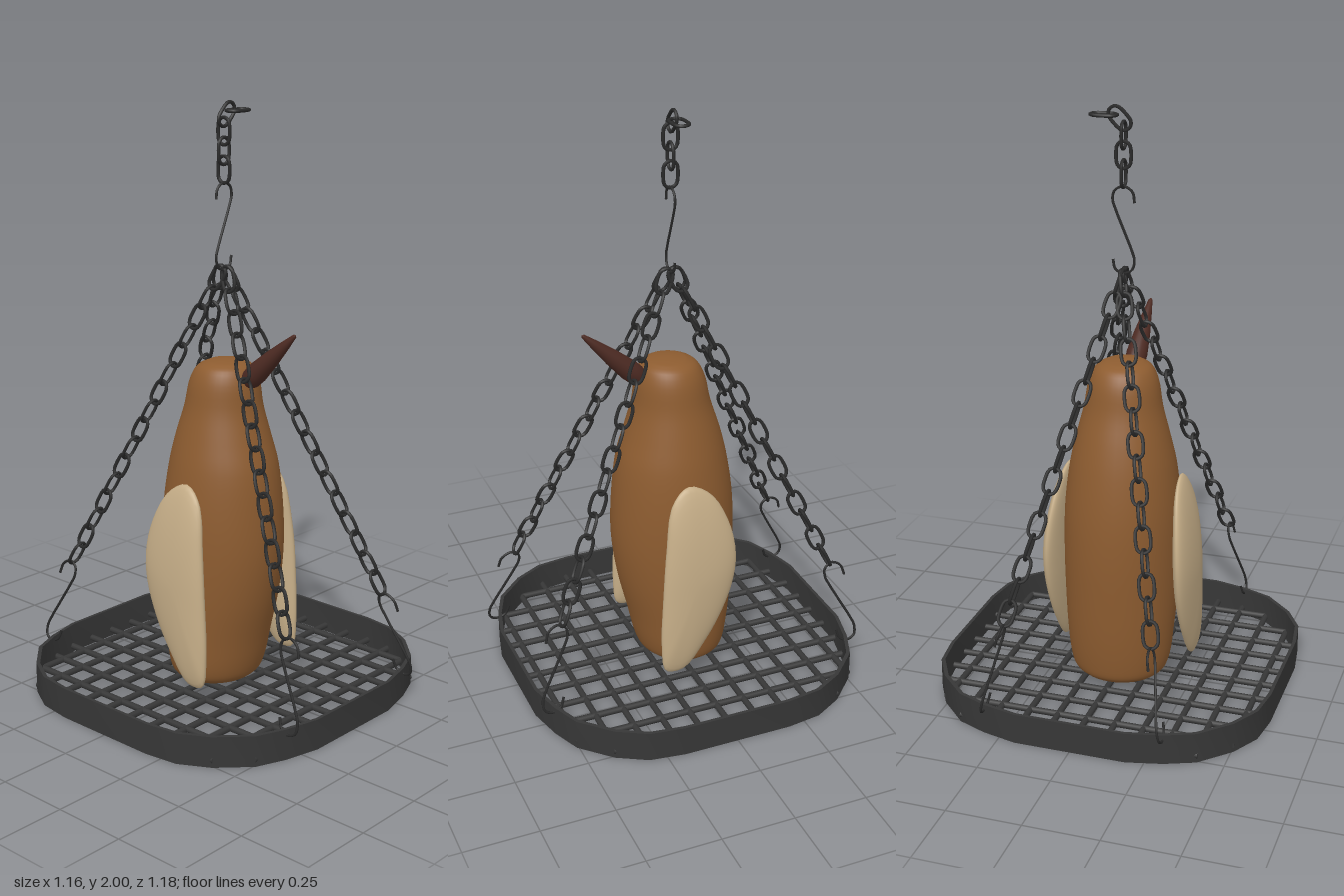
import * as THREE from 'three';
import { mergeVertices, toCreasedNormals } from 'three/addons/utils/BufferGeometryUtils.js';

const material = (name, color) => {
  const m = new THREE.MeshStandardMaterial({ color });
  m.name = name;
  return m;
};
const V = (x, y, z) => new THREE.Vector3(x, y, z);

// Welds seams and rebuilds smooth normals after vertices were moved
function smooth(geo) {
  geo.deleteAttribute('uv');
  geo.deleteAttribute('normal');
  const g = mergeVertices(geo, 1e-5);
  g.computeVertexNormals();
  return g;
}

export function createModel() {
  const root = new THREE.Group();
  root.name = 'hangingBirdFeeder';
  const brown = material('body brown', 0x8d5c30);
  const tan = material('wing tan', 0xc6ae88);
  const darkBrown = material('beak brown', 0x4c2a22);
  const iron = material('chain iron', 0x2a2a2a);
  const trayGrey = material('tray grey', 0x373737);

  const add = (name, geo, mat, parent = root) => {
    const m = new THREE.Mesh(geo, mat);
    m.name = name;
    parent.add(m);
    return m;
  };

  // Bird body: y, half width, half depth, z shift of each cross-section
  const sections = [
    [0.035, 0.14, 0.128, -0.034], [0.055, 0.161, 0.148, -0.033], [0.1, 0.175, 0.162, -0.03],
    [0.2, 0.186, 0.18, -0.025], [0.35, 0.196, 0.203, -0.012], [0.5, 0.2, 0.215, -0.005],
    [0.65, 0.197, 0.21, -0.003], [0.8, 0.18, 0.19, 0], [0.9, 0.158, 0.163, -0.002],
    [1.0, 0.133, 0.133, 0], [1.09, 0.117, 0.117, 0.004], [1.135, 0.095, 0.095, 0.008],
    [1.155, 0.06, 0.06, 0.012],
  ];
  const width = new THREE.CatmullRomCurve3(sections.map(s => V(s[1], s[0], s[2])));
  const shift = new THREE.CatmullRomCurve3(sections.map(s => V(s[3], s[0], 0)));
  const rings = 48;
  const rows = [V(0, 0.035, 0), ...width.getPoints(rings), V(0, 1.163, 0)];
  const shifts = [V(-0.034, 0, 0), ...shift.getPoints(rings), V(0.012, 0, 0)];
  const bodyGeo = new THREE.LatheGeometry(rows.map(p => new THREE.Vector2(p.x ? 1 : 0, p.y)), 40);
  const bp = bodyGeo.attributes.position;
  for (let i = 0; i < bp.count; i++) {
    const k = i % rows.length;
    bp.setX(i, bp.getX(i) * rows[k].x);
    bp.setZ(i, bp.getZ(i) * rows[k].z + shifts[k].x);
  }
  add('body', smooth(bodyGeo), brown);

  // Wings: lens-shaped, swept along a leaf outline given as (z, y), bent in at the shoulder
  const outline = new THREE.CatmullRomCurve3([
    [-0.143, 0.5], [-0.12, 0.62], [-0.06, 0.73], [0.02, 0.77], [0.08, 0.715], [0.11, 0.55],
    [0.125, 0.35], [0.13, 0.18], [0.115, 0.085], [0.05, 0.08], [-0.03, 0.175], [-0.09, 0.28], [-0.13, 0.39],
  ].map(([z, y]) => V(0, y, z)), true);
  const wingGeo = new THREE.SphereGeometry(1, 48, 20);
  const wp = wingGeo.attributes.position, uv = wingGeo.attributes.uv;
  const centre = V(0, 0.42, 0.01);
  for (let i = 0; i < wp.count; i++) {
    const h = wp.getY(i);
    const p = outline.getPoint(((uv.getX(i) % 1) + 1) % 1);
    p.sub(centre).multiplyScalar(Math.sqrt(Math.max(0, 1 - h * h))).add(centre);
    wp.setXYZ(i, 0.234 - 0.25 * Math.max(0, p.y - 0.4) ** 2 + 0.037 * h, p.y, p.z);
  }
  const wing = smooth(wingGeo);
  add('leftWing', wing, tan);
  add('rightWing', wing, tan).scale.x = -1;

  // Beak pointing up and forward
  const beak = add('beak', new THREE.LatheGeometry([
    [0, 0], [0.024, 0], [0.034, 0.02], [0.036, 0.06], [0.028, 0.14], [0.016, 0.22], [0.007, 0.272], [0, 0.281],
  ].map(p => new THREE.Vector2(...p)), 20), darkBrown);
  beak.position.set(0, 1.095, 0.105);
  beak.rotation.x = 0.82;

  // Tray rim: a rounded square band, corners listed for one quarter
  const quarter = [[0.58, 0.19], [0.563, 0.31], [0.507, 0.41], [0.41, 0.507], [0.31, 0.548], [0.19, 0.577]];
  const back = [...quarter].reverse();
  const loop = [
    ...quarter, ...back.map(([x, z]) => [-x, z]),
    ...quarter.map(([x, z]) => [-x, -z]), ...back.map(([x, z]) => [x, -z]),
  ].map(p => new THREE.Vector2(...p));
  const rimShape = new THREE.Shape(loop);
  rimShape.holes.push(new THREE.Path(loop.map(p => p.clone().multiplyScalar(0.98))));
  const rimGeo = new THREE.ExtrudeGeometry(rimShape, { depth: 0.105, bevelEnabled: false });
  const rim = add('trayRim', toCreasedNormals(rimGeo, 0.8), trayGrey);
  rim.rotation.x = -Math.PI / 2;

  // Tray mesh: bars both ways, cut to the rim
  const reach = (a, corners) => {
    const i = corners.findIndex(p => p[0] >= a);
    if (i === 0) return corners[0][1];
    const [x0, z0] = corners[i - 1], [x1, z1] = corners[i];
    return z0 + (z1 - z0) * (a - x0) / (x1 - x0);
  };
  const swapped = quarter.map(([x, z]) => [z, x]);
  const bar = (a, corners) =>
    new THREE.CylinderGeometry(0.011, 0.011, 2 * reach(Math.abs(a), corners) - 0.01, 8);
  const grid = new THREE.Group();
  grid.name = 'trayGrid';
  root.add(grid);
  for (let i = -5; i <= 5; i++) {
    const a = i * 0.1;
    const along = add('barAlongZ', bar(a, back), trayGrey, grid);
    along.rotation.x = Math.PI / 2;
    along.position.set(a, 0.024, 0);
    const across = add('barAlongX', bar(a, swapped), trayGrey, grid);
    across.rotation.z = Math.PI / 2;
    across.position.set(0, 0.024, a);
  }

  // Chain link: a flat oval of wire, long axis y, placed in the plane of its axis and a side direction
  const oval = [];
  for (let i = 0; i < 12; i++) {
    const t = (i + 0.5) / 12 * Math.PI * 2;
    oval.push(V(Math.cos(t) * 0.024, Math.sin(t) * 0.024 + Math.sign(Math.sin(t)) * 0.02, 0));
  }
  const linkGeo = new THREE.TubeGeometry(new THREE.CatmullRomCurve3(oval, true), 24, 0.006, 6, true);
  const addLink = (parent, pos, axis, side) => {
    const z = V().crossVectors(side, axis).normalize();
    const x = V().crossVectors(axis, z).normalize();
    const link = add('chainLink', linkGeo, iron, parent);
    link.quaternion.setFromRotationMatrix(new THREE.Matrix4().makeBasis(x, axis, z));
    link.position.copy(pos);
  };

  // S-shaped hook in (u, y), placed by a mapping function
  const hookPoints = [
    [-0.037, 0.235], [-0.03, 0.27], [0, 0.287], [0.03, 0.272], [0.037, 0.243], [0.026, 0.208], [0, 0.145],
    [-0.027, 0.08], [-0.037, 0.045], [-0.028, 0.012], [0, 0], [0.028, 0.012], [0.036, 0.045],
  ];
  const addHook = (name, map) => add(name, new THREE.TubeGeometry(
    new THREE.CatmullRomCurve3(hookPoints.map(([u, y]) => map(u, y))), 48, 0.0045, 6), iron);

  // Four chains with a hook at the tray corner
  const X = V(1, 0, 0), Y = V(0, 1, 0), Z = V(0, 0, 1);
  for (const sx of [1, -1]) for (const sz of [1, -1]) {
    const chain = new THREE.Group();
    chain.name = (sz > 0 ? 'front' : 'back') + (sx > 0 ? 'Left' : 'Right') + 'Chain';
    root.add(chain);
    const axis = V(-0.235 * sx, 1, -0.448 * sz).normalize();
    for (let k = 0; k < 16; k++) {
      const d = k * 0.0675;
      addLink(chain, V(sx * (0.006 + 0.235 * d), 1.43 - d, sz * (0.024 + 0.448 * d)), axis, k % 2 ? X : Z);
    }
    addHook('trayHook', (u, y) => V(
      sx * (0.307 - 0.2 * y), 0.085 + y * 1.04, sz * (0.553 - 0.16 * y - u)));
  }

  // Upper hook and hanging links
  addHook('topHook', (u, y) => V(u, 1.457 + y, 0));
  const top = new THREE.Group();
  top.name = 'topChain';
  root.add(top);
  addLink(top, V(0, 1.785, 0), Y, Z);
  addLink(top, V(0, 1.845, 0), Y, X);
  addLink(top, V(0, 1.908, 0), Y, Z);
  addLink(top, V(0.013, 1.961, 0), V(1, 1, 0).normalize(), Y);
  addLink(top, V(0.066, 1.97, 0), X, Z);

  return root;
}
